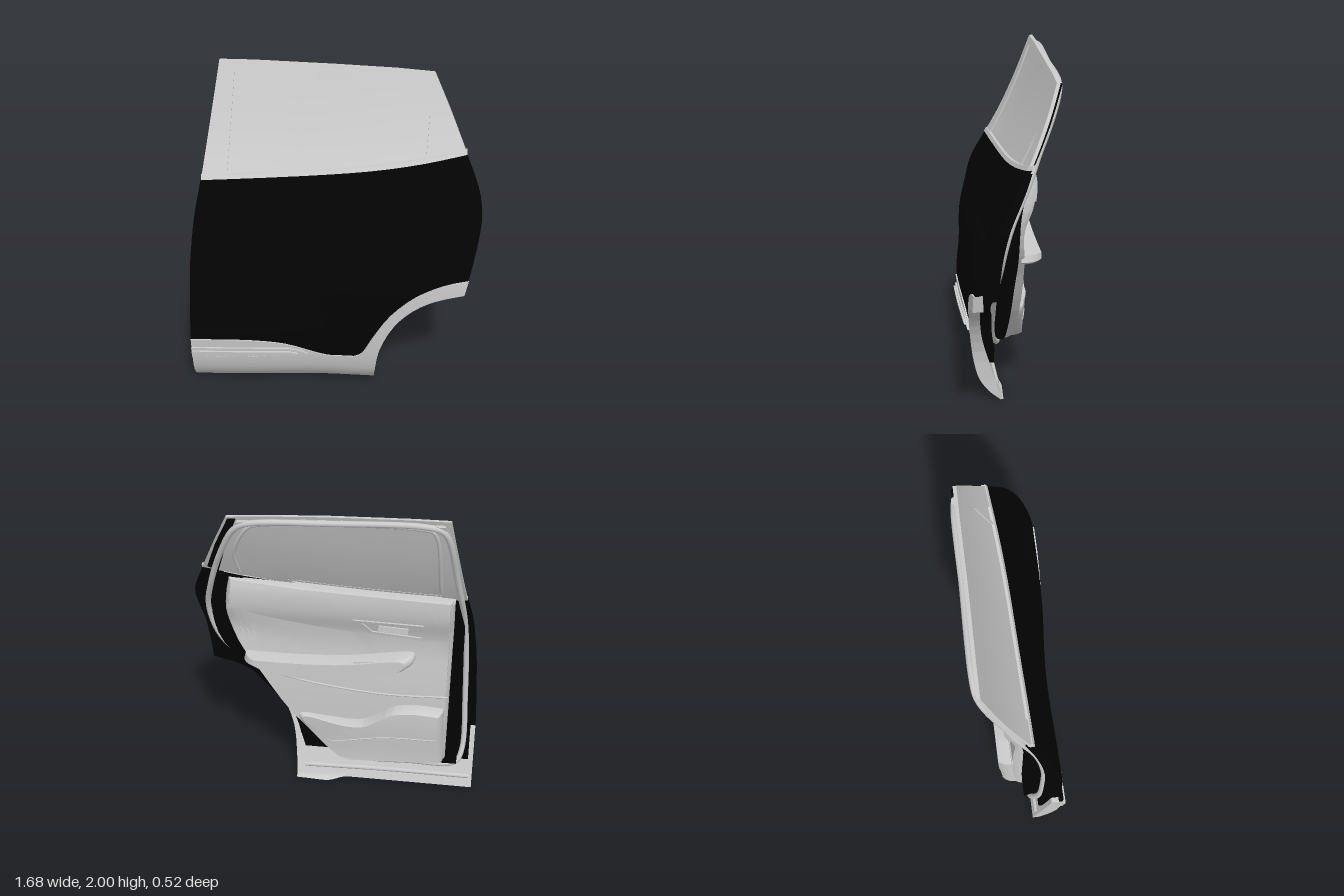
import * as THREE from 'three';
import { toCreasedNormals } from 'three/addons/utils/BufferGeometryUtils.js';

const grey = new THREE.MeshStandardMaterial({ color: 0xcccccc, side: THREE.DoubleSide });
const black = new THREE.MeshStandardMaterial({ color: 0x030303, side: THREE.DoubleSide });
const { smoothstep, lerp, clamp } = THREE.MathUtils;

// smooth curve z(y) through [y, z] pairs
function profile(p) {
  const slope = (i) => {
    const a = p[Math.max(i - 1, 0)], b = p[Math.min(i + 1, p.length - 1)];
    return (b[1] - a[1]) / (b[0] - a[0]);
  };
  return (y) => {
    let i = 0;
    while (i < p.length - 2 && y > p[i + 1][0]) i++;
    const h = p[i + 1][0] - p[i][0], t = clamp((y - p[i][0]) / h, 0, 1), t2 = t * t, t3 = t2 * t;
    return (2 * t3 - 3 * t2 + 1) * p[i][1] + (t3 - 2 * t2 + t) * h * slope(i)
      + (3 * t2 - 2 * t3) * p[i + 1][1] + (t3 - t2) * h * slope(i + 1);
  };
}

// depth layers of the door, from outside to inside; the skin swells over the wheel
const skinY = profile([[0, 0.05], [0.07, 0.13], [0.17, 0.19], [0.39, 0.23], [0.76, 0.25], [0.95, 0.235],
  [1.16, 0.17], [1.32, 0.085], [1.4, 0.04], [1.53, -0.03], [1.75, -0.125], [2, -0.215]]);
const skin = (x, y) => skinY(y) - 0.02 * Math.exp(-(((x + 0.1) / 0.35) ** 2)) * (1 - smoothstep(y, 1.2, 1.5))
  - 0.035 * smoothstep(-x, -0.4, 0.5) * smoothstep(y, 0.4, 0.7) * (1 - smoothstep(y, 1, 1.3))
  - 0.02 * Math.max(0, x) * smoothstep(y, 1.4, 1.95);
const sealY = profile([[0.2, 0.035], [0.35, 0.095], [0.55, 0.115], [0.9, 0.115], [1.2, 0.065], [1.47, -0.05], [2, -0.25]]);
const sealZ = (x, y) => (y > 1.4 ? Math.min(sealY(y), skin(x, y) - 0.035) : sealY(y));
const flangeZ = (x, y) => (y < 0.5 ? Math.max(sealY(y), 0.09) : sealY(y));
const claddingBack = profile([[0, 0.045], [0.17, 0.1], [0.4, 0.165], [0.6, 0.19], [0.86, 0.205]]);
const innerZ = profile([[0.2, 0.01], [0.5, 0], [1.2, 0], [1.38, -0.03], [1.53, -0.085]]);
const trimZ = profile([[0.26, -0.04], [0.7, -0.055], [0.95, -0.05], [1.1, -0.035], [1.18, -0.045], [1.3, -0.085], [1.42, -0.095], [1.5, -0.08]]);
const off = (f, d) => (x, y) => f(x, y) + d;
const onY = (f, d = 0) => (x, y) => f(y) + d;

// runs of points joined by straight lines; a run of three or more is smoothed
function outline(...runs) {
  return runs.flatMap((r) => {
    const v = r.map((q) => new THREE.Vector2(...q));
    return v.length > 2 ? new THREE.SplineCurve(v).getPoints((v.length - 1) * 3) : v;
  });
}
const polygon = (...pts) => pts.map((q) => new THREE.Vector2(...q));

// solid between two depth functions, rounded inwards (taper)
function slab(name, mat, pts, front, back, { holes = [], levels = 3, taper = 0 } = {}) {
  const shape = new THREE.Shape(pts);
  shape.holes = holes.map((h) => new THREE.Path(h));
  const raw = new THREE.ExtrudeGeometry(shape, { depth: 1, bevelEnabled: false });
  let pos = Array.from(raw.attributes.position.array);
  for (let l = 0; l < levels; l++) {
    const out = [];
    for (let i = 0; i < pos.length; i += 9) {
      const [a, b, c] = [0, 3, 6].map((k) => pos.slice(i + k, i + k + 3));
      const mid = (p, q) => p.map((v, k) => (v + q[k]) / 2);
      const ab = mid(a, b), bc = mid(b, c), ca = mid(c, a);
      out.push(...a, ...ab, ...ca, ...ab, ...b, ...bc, ...ca, ...bc, ...c, ...ab, ...bc, ...ca);
    }
    pos = out;
  }
  const c = new THREE.Box2().setFromPoints(pts).getCenter(new THREE.Vector2());
  for (let i = 0; i < pos.length; i += 3) {
    const t = pos[i + 2], s = 1 - taper * (1 - t) ** 3;
    const x = c.x + (pos[i] - c.x) * s, y = c.y + (pos[i + 1] - c.y) * s;
    pos[i] = x; pos[i + 1] = y;
    pos[i + 2] = lerp(back(x, y), front(x, y), t);
  }
  const geo = new THREE.BufferGeometry();
  geo.setAttribute('position', new THREE.Float32BufferAttribute(pos, 3));
  const mesh = new THREE.Mesh(toCreasedNormals(geo, 0.6), mat);
  mesh.name = name;
  return mesh;
}

// strip following a depth function
function strip(name, mat, pts, depth, radius, closed = false) {
  const flat = new THREE.CatmullRomCurve3(pts.map(([x, y]) => new THREE.Vector3(x, y, 0)), closed, 'centripetal');
  const n = pts.length * 6;
  const path = flat.getPoints(n).map((p) => p.setZ(depth(p.x, p.y)));
  if (closed) path.pop();
  const geo = new THREE.TubeGeometry(new THREE.CatmullRomCurve3(path, closed), n * 2, radius, 8, closed);
  const mesh = new THREE.Mesh(geo, mat);
  mesh.name = name;
  return mesh;
}

function box(name, mat, size, at, tilt) {
  const mesh = new THREE.Mesh(new THREE.BoxGeometry(...size), mat);
  mesh.name = name;
  mesh.position.set(...at);
  mesh.rotation.z = tilt;
  return mesh;
}

export function createModel() {
  const g = new THREE.Group();
  g.name = 'rearDoor';
  const belt = [[0.75, 1.53], [0.5, 1.48], [0.2, 1.44], [-0.2, 1.41], [-0.745, 1.385]];
  const raised = belt.map(([x, y]) => [x, y + 0.022]).reverse();

  // painted body: thin outer skin, stepped-in flange and narrower inner shell
  const arch = [[0.2, 0.22], [0.27, 0.45], [0.4, 0.65], [0.56, 0.76], [0.76, 0.82]];
  g.add(slab('outerSkin', black, outline([[-0.835, 0.22]], arch, [[0.78, 0.87], [0.825, 1.1], [0.84, 1.24], [0.82, 1.36], [0.75, 1.525]],
    belt, [[-0.75, 1.37], [-0.79, 1.15], [-0.82, 0.85], [-0.84, 0.42]]), skin, off(skin, -0.022)));
  g.add(slab('bodyFlange', black, outline([[-0.81, 0.22]], arch, [[0.765, 0.9], [0.785, 1.1], [0.79, 1.24], [0.77, 1.36], [0.71, 1.5]],
    [[0.2, 1.435], [-0.2, 1.405], [-0.73, 1.37]], [[-0.77, 1.15], [-0.795, 0.85], [-0.81, 0.42]]), off(skin, -0.012), flangeZ));
  const innerRear = [[-0.12, 0.23], [0.02, 0.3], [0.22, 0.5], [0.46, 0.78], [0.66, 1.0], [0.72, 1.2], [0.7, 1.36], [0.64, 1.48]];
  g.add(slab('innerBody', black, outline([[-0.74, 0.24]], innerRear, [[0.2, 1.44], [-0.2, 1.41], [-0.7, 1.385]], [[-0.74, 1.2]]),
    off(flangeZ, 0.02), onY(innerZ)));

  // window frame: thin outer plate, deeper inner frame, dark rear flange, panes
  const pane = polygon([-0.6, 1.4], [-0.555, 1.96], [-0.2, 1.955], [0.15, 1.94], [0.45, 1.915], [0.535, 1.72], [0.52, 1.495],
    [0.2, 1.45], [-0.2, 1.42]);
  const quarter = polygon([0.545, 1.7], [0.535, 1.5], [0.625, 1.52]);
  const holes = [pane, quarter];
  g.add(slab('windowFrame', grey, polygon([-0.745, 1.385], [-0.64, 2.0], [-0.45, 1.998], [0, 1.982], [0.35, 1.963], [0.56, 1.945],
    [0.655, 1.745], [0.75, 1.53], ...belt.slice(1, 4)), skin, off(skin, -0.02), { holes }));
  g.add(slab('innerFrame', grey, polygon([-0.7, 1.4], [-0.61, 1.975], [-0.2, 1.97], [0.15, 1.955], [0.5, 1.925], [0.585, 1.72],
    [0.65, 1.53], [0.2, 1.445], [-0.2, 1.415]), off(skin, -0.018), off(skin, -0.045), { holes }));
  g.add(slab('rearPillarFlange', black, polygon([0.505, 1.935], [0.55, 1.935], [0.64, 1.745], [0.715, 1.55], [0.65, 1.52], [0.59, 1.72]),
    off(skin, -0.018), off(skin, -0.034), { levels: 2 }));
  for (const [name, pts] of [['windowPane', pane], ['quarterPane', quarter]]) {
    g.add(slab(name, grey, pts, off(skin, -0.01), off(skin, -0.016)));
  }
  g.add(slab('beltMoulding', grey, outline(belt, raised), off(skin, 0.006), off(skin, -0.02)));
  g.add(strip('windowLiner', grey, [[-0.6, 1.46], [-0.555, 1.93], [-0.5, 1.95], [0.4, 1.91], [0.45, 1.88], [0.54, 1.7], [0.53, 1.53]],
    off(skin, -0.04), 0.012));

  // lower cladding with the wheel arch lip
  g.add(slab('lowerCladding', grey, outline([[-0.84, 0.03], [-0.1, 0.03]], [[-0.03, 0.025], [0.02, 0.012], [0.06, 0.005]], [[0.25, 0.005]],
    [[0.255, 0.13], [0.28, 0.33], [0.36, 0.52], [0.47, 0.645], [0.6, 0.72], [0.76, 0.765]],
    [[0.78, 0.862], [0.64, 0.825], [0.48, 0.74], [0.34, 0.6], [0.24, 0.43], [0.18, 0.305], [0.13, 0.27]],
    [[-0.03, 0.27], [-0.12, 0.3], [-0.28, 0.36], [-0.45, 0.387], [-0.6, 0.395]], [[-0.84, 0.395]]),
  off(skin, 0.008), (x, y) => Math.min(claddingBack(y), skin(x, y) - 0.01)));
  g.add(slab('sideMoulding', grey, polygon([-0.84, 0.265], [-0.5, 0.267], [-0.25, 0.27], [-0.17, 0.277], [-0.145, 0.288], [-0.19, 0.315],
    [-0.26, 0.332], [-0.5, 0.337], [-0.84, 0.338]), off(skin, 0.02), skin));
  g.add(slab('mouldingInsert', grey, polygon([-0.835, 0.284], [-0.5, 0.286], [-0.25, 0.288], [-0.205, 0.298], [-0.25, 0.314], [-0.5, 0.317],
    [-0.835, 0.318]), off(skin, 0.032), skin));
  g.add(strip('sillSeal', grey, [[-0.82, 0.1], [-0.3, 0.1], [0.2, 0.09]], onY(claddingBack), 0.015));

  // outer handle
  const cup = new THREE.EllipseCurve(0.52, 1.145, 0.17, 0.05).getPoints(24).slice(0, -1);
  g.add(slab('handleCup', black, cup, off(skin, 0.01), skin, { levels: 2 }));
  const pull = new THREE.Mesh(new THREE.CapsuleGeometry(0.024, 0.3, 6, 16), black);
  pull.name = 'outerHandle';
  pull.rotation.z = Math.PI / 2 - 0.03;
  pull.position.set(0.53, 1.15, skin(0.53, 1.15) + 0.024);
  g.add(pull);

  // weather seal around the whole inner side
  g.add(strip('weatherSeal', grey, [[-0.73, 0.23], [-0.45, 0.215], [-0.14, 0.22], [0.05, 0.3], [0.26, 0.51], [0.5, 0.77], [0.7, 0.98],
    [0.755, 1.2], [0.71, 1.42], [0.61, 1.7], [0.52, 1.87], [0.45, 1.915], [0, 1.95], [-0.54, 1.965], [-0.61, 1.93], [-0.69, 1.55],
    [-0.74, 1.2], [-0.765, 0.7], [-0.765, 0.29]], off(sealZ, -0.006), 0.017, true));

  // interior trim
  const trimRear = [[-0.06, 0.26], [0.03, 0.32], [0.26, 0.56], [0.45, 0.85], [0.58, 1.05], [0.63, 1.22], [0.625, 1.36], [0.6, 1.48]];
  g.add(slab('trimPanel', grey, outline([[-0.67, 0.29], [-0.62, 0.265]], trimRear, [[0, 1.45], [-0.68, 1.42]], [[-0.68, 1.2]]),
    onY(innerZ, 0.02), onY(trimZ), { taper: 0.03 }));
  g.add(slab('upperTrimPad', grey, outline([[-0.67, 1.14], [-0.1, 1.17], [0.35, 1.24], [0.615, 1.32]], [[0.595, 1.49]],
    [[0.2, 1.46], [-0.2, 1.445], [-0.67, 1.43]]), onY(innerZ), onY(trimZ, -0.01), { taper: 0.025 }));
  g.add(slab('armrest', grey, outline([[0.52, 0.99], [0.2, 0.99], [-0.1, 1.01], [-0.4, 1.06], [-0.47, 1.045], [-0.43, 0.98],
    [-0.2, 0.9], [0.1, 0.87], [0.4, 0.9], [0.53, 0.95]]), onY(trimZ, 0.02), () => -0.147, { taper: 0.12 }));
  g.add(box('windowSwitch', grey, [0.16, 0.02, 0.04], [-0.2, 1.02, -0.115], -0.1));
  const pocketBack = (x, y) => -0.11 - 0.025 * smoothstep(y, 0.3, 0.65) + 0.05 * smoothstep(x, -0.1, 0.22);
  g.add(slab('doorPocket', grey, outline([[-0.66, 0.31], [-0.1, 0.28]], [[-0.03, 0.29], [0.08, 0.38], [0.2, 0.52], [0.2, 0.58], [0.05, 0.57],
    [-0.14, 0.56], [-0.24, 0.6], [-0.36, 0.68], [-0.5, 0.7]], [[-0.65, 0.69]]), onY(trimZ, 0.02), pocketBack, { taper: 0.07 }));
  g.add(strip('pocketSeam', grey, [[-0.62, 0.5], [-0.3, 0.49], [0.03, 0.42]], pocketBack, 0.004));
  g.add(strip('lowerSeam', grey, [[-0.67, 0.77], [-0.3, 0.76], [0.1, 0.8], [0.4, 0.86]], onY(trimZ), 0.006));

  // inner release handle
  const bezel = polygon([-0.53, 1.15], [-0.2, 1.18], [-0.11, 1.28], [-0.51, 1.27]);
  const cavity = polygon([-0.5, 1.17], [-0.22, 1.195], [-0.16, 1.263], [-0.485, 1.253]);
  g.add(slab('releaseBezel', grey, bezel, onY(trimZ), onY(trimZ, -0.022), { holes: [cavity], levels: 2 }));
  g.add(box('releaseLever', grey, [0.17, 0.04, 0.025], [-0.34, 1.22, trimZ(1.22) - 0.014], 0.06));
  return g;
}
